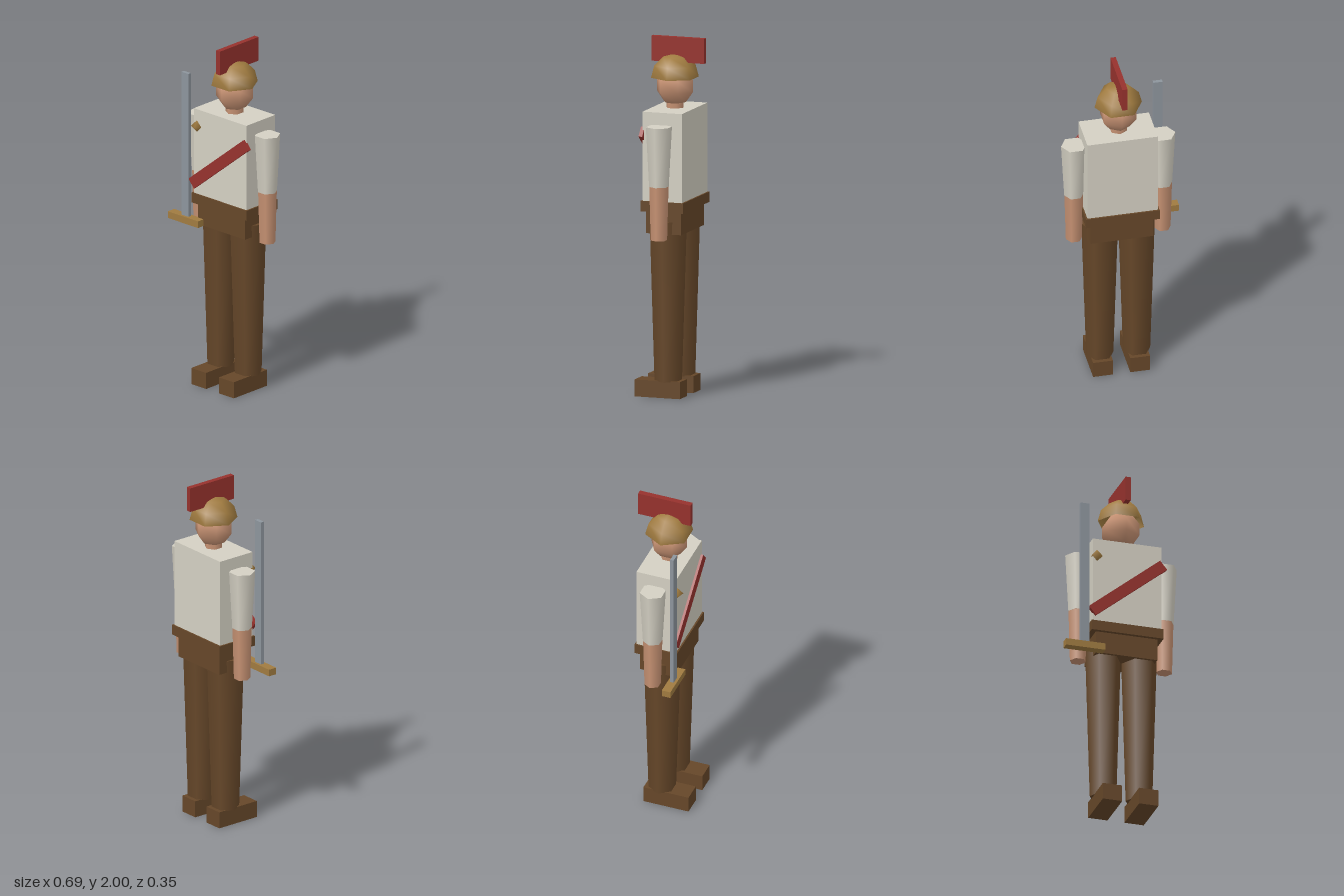
import * as THREE from 'three';

const CX = 0.02; // body axis; the sword shifts the figure off centre

function mat(name, color) {
  const m = new THREE.MeshStandardMaterial({ color });
  m.name = name;
  return m;
}

export function createModel() {
  const cream = mat('cream cloth', 0xd4d0c3);
  const skin = mat('skin', 0xc79273);
  const brown = mat('brown leather', 0x664729);
  const gold = mat('bronze', 0xa07b40);
  const red = mat('red', 0x96322d);
  const steel = mat('steel', 0x8d959d);
  const helmetMat = gold.clone();
  helmetMat.name = 'helmet bronze';
  helmetMat.side = THREE.DoubleSide;

  const model = new THREE.Group();
  model.name = 'soldier';

  const add = (name, geometry, material, x, y, z) => {
    const mesh = new THREE.Mesh(geometry, material);
    mesh.name = name;
    mesh.position.set(x, y, z);
    model.add(mesh);
    return mesh;
  };
  // Box given by its extents
  const box = (name, material, x0, x1, y0, y1, z0, z1) =>
    add(name, new THREE.BoxGeometry(x1 - x0, y1 - y0, z1 - z0), material,
      (x0 + x1) / 2, (y0 + y1) / 2, (z0 + z1) / 2);
  // Smooth six-sided limb with corners pointing sideways
  const limb = (name, material, x, rTop, rBottom, y0, y1) => {
    const g = new THREE.CylinderGeometry(rTop, rBottom, y1 - y0, 6);
    g.rotateY(Math.PI / 6);
    return add(name, g, material, x, (y0 + y1) / 2, 0);
  };

  // Trunk
  box('torso', cream, CX - 0.199, CX + 0.199, 1.105, 1.605, -0.116, 0.116);
  box('belt', brown, CX - 0.208, CX + 0.208, 1.048, 1.106, -0.125, 0.125);
  box('hips', brown, CX - 0.178, CX + 0.178, 0.922, 1.05, -0.104, 0.104);

  // Legs, boots and arms
  for (const [side, s] of [['left', 1], ['right', -1]]) {
    limb(side + 'Leg', brown, CX + s * 0.104, 0.104, 0.077, 0.09, 0.99);
    box(side + 'Boot', brown, CX + s * 0.105 - 0.056, CX + s * 0.105 + 0.056, 0, 0.095, -0.09, 0.177);
    limb(side + 'Sleeve', cream, CX + s * 0.25, 0.073, 0.055, 1.2, 1.535);
    limb(side + 'Forearm', skin, CX + s * 0.25, 0.054, 0.046, 0.9, 1.2);
  }

  // Head
  const neck = new THREE.CylinderGeometry(0.05, 0.05, 0.08, 6);
  add('neck', neck, skin, CX, 1.64, 0);
  const head = new THREE.SphereGeometry(0.111, 6, 5);
  head.rotateY(Math.PI / 6);
  add('head', head, skin, CX, 1.728, 0);

  // Helmet and crest
  add('helmet', new THREE.SphereGeometry(0.134, 6, 3, 0, Math.PI * 2, 0, Math.PI / 2),
    helmetMat, CX, 1.773, 0);
  box('crest', red, CX - 0.015, CX + 0.015, 1.86, 2, -0.178, 0.133);

  // Diagonal sash and shoulder brooch
  const sash = add('sash', new THREE.BoxGeometry(0.53, 0.064, 0.022), red, CX, 1.327, 0.119);
  sash.rotation.z = 0.68;
  const brooch = add('brooch', new THREE.SphereGeometry(0.034, 5, 2), gold, -0.156, 1.505, 0.116);
  brooch.rotation.y = Math.PI;

  // Sword
  box('swordBlade', steel, -0.256, -0.204, 0.955, 1.805, 0.113, 0.134);
  box('swordGuard', gold, -0.345, -0.117, 0.921, 0.96, 0.098, 0.149);

  return model;
}
